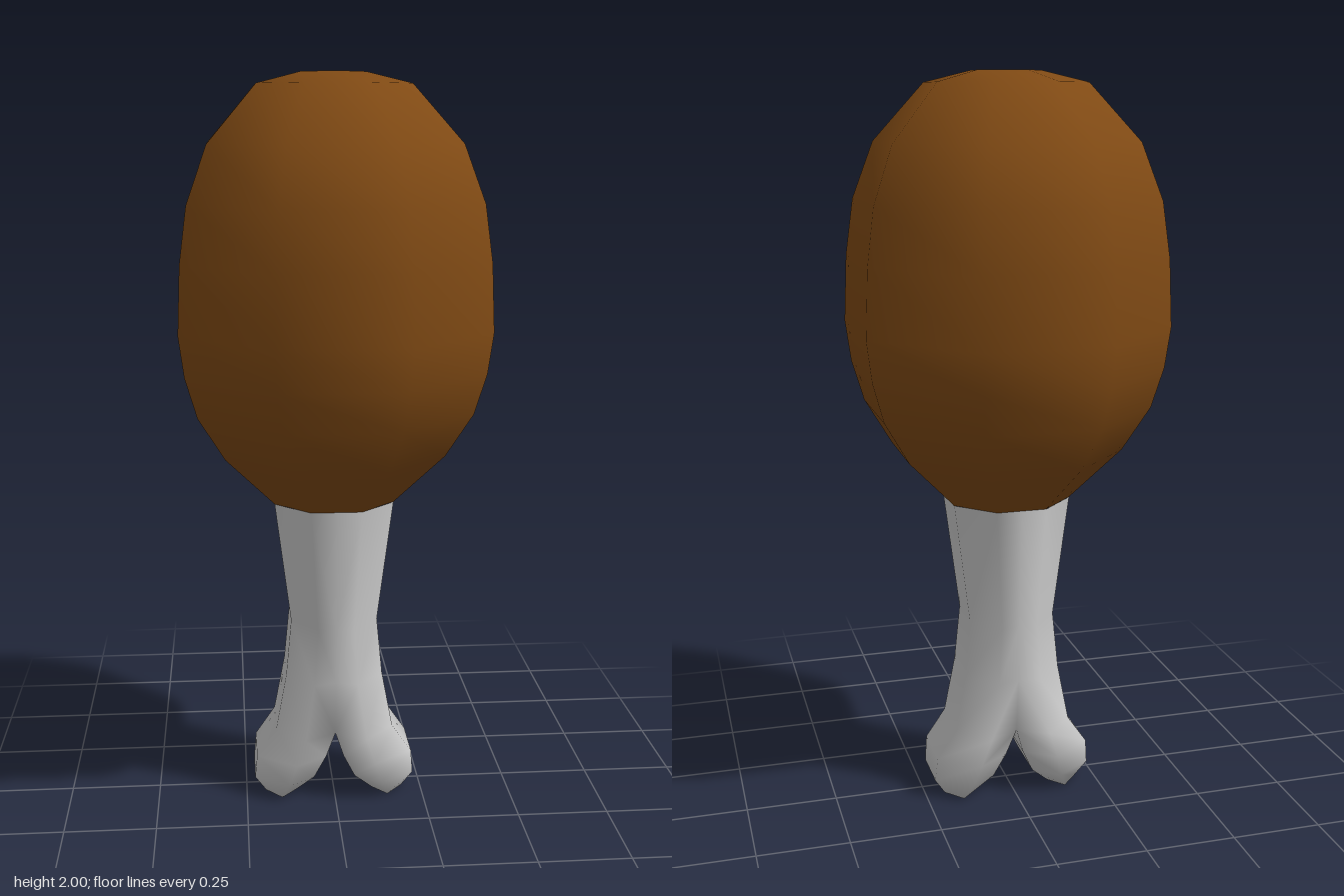
import * as THREE from 'three';
import { mergeVertices } from 'three/addons/utils/BufferGeometryUtils.js';

const SIDES = 8;
const FLAT = Math.cos(Math.PI / SIDES); // flat-side distance / corner radius

// Half cross-sections of the bone, top to bottom:
// [y, inner x, inner z, ridge x, ridge z, outer x, outer z]
const RINGS = [
  [0.86, 0, 0.163, 0.068, 0.163, 0.163, 0.068],
  [0.52, 0, 0.14, 0.05, 0.145, 0.12, 0.062],
  [0.36, 0, 0.135, 0.06, 0.152, 0.135, 0.068],
  [0.20, 0, 0.115, 0.085, 0.164, 0.165, 0.075],
  [0.12, 0.025, 0.095, 0.11, 0.152, 0.22, 0.075],
  [0.05, 0.058, 0.08, 0.13, 0.13, 0.226, 0.068],
  [0.0, 0.11, 0.055, 0.15, 0.1, 0.195, 0.05],
];
const SPLIT = 3; // ring below which the two knuckles part

function boneGeometry() {
  const positions = [], index = [];
  for (const side of [1, -1]) {
    const base = positions.length / 3;
    const tri = (a, b, c) => side > 0
      ? index.push(base + a, base + b, base + c)
      : index.push(base + a, base + c, base + b);
    for (const [y, ix, iz, rx, rz, ox, oz] of RINGS) {
      for (const [x, z] of [[ix, iz], [rx, rz], [ox, oz], [ox, -oz], [rx, -rz], [ix, -iz]]) {
        positions.push(side * x, y, z);
      }
    }
    // walls; the inner wall closes only below the split
    for (let i = 0; i < RINGS.length - 1; i++) {
      for (let j = 0; j < (i >= SPLIT ? 6 : 5); j++) {
        const k = (j + 1) % 6;
        const a = i * 6 + j, b = i * 6 + k, c = a + 6, d = b + 6;
        tri(a, c, b);
        tri(b, c, d);
      }
    }
    // flat underside of the knuckle
    const last = (RINGS.length - 1) * 6;
    const centre = RINGS.length * 6;
    positions.push(side * 0.152, 0, 0);
    for (let j = 0; j < 6; j++) tri(centre, last + (j + 1) % 6, last + j);
  }
  let geometry = new THREE.BufferGeometry();
  geometry.setAttribute('position', new THREE.Float32BufferAttribute(positions, 3));
  geometry.setIndex(index);
  geometry = mergeVertices(geometry, 1e-4); // weld the halves along the middle
  geometry.computeVertexNormals();
  return geometry;
}

function meatGeometry() {
  // [flat-side distance, y]
  const profile = [
    [0.163, 0.86], [0.295, 1.0], [0.365, 1.12], [0.396, 1.23], [0.41, 1.34],
    [0.402, 1.52], [0.382, 1.67], [0.328, 1.82], [0.2, 1.97], [0.085, 2.0], [0, 2.0],
  ].map(([r, y]) => new THREE.Vector2(r / FLAT, y));
  return new THREE.LatheGeometry(profile, SIDES, Math.PI / SIDES);
}

export function createModel() {
  const group = new THREE.Group();
  group.name = 'drumstick';

  // rounded eight-sided meat
  const meat = new THREE.Mesh(meatGeometry(),
    new THREE.MeshStandardMaterial({ color: 0x804a14 }));
  meat.name = 'meat';

  // shaft that forks into two knuckles
  const bone = new THREE.Mesh(boneGeometry(),
    new THREE.MeshStandardMaterial({ color: 0xcccccc }));
  bone.name = 'bone';

  group.add(meat, bone);
  return group;
}
